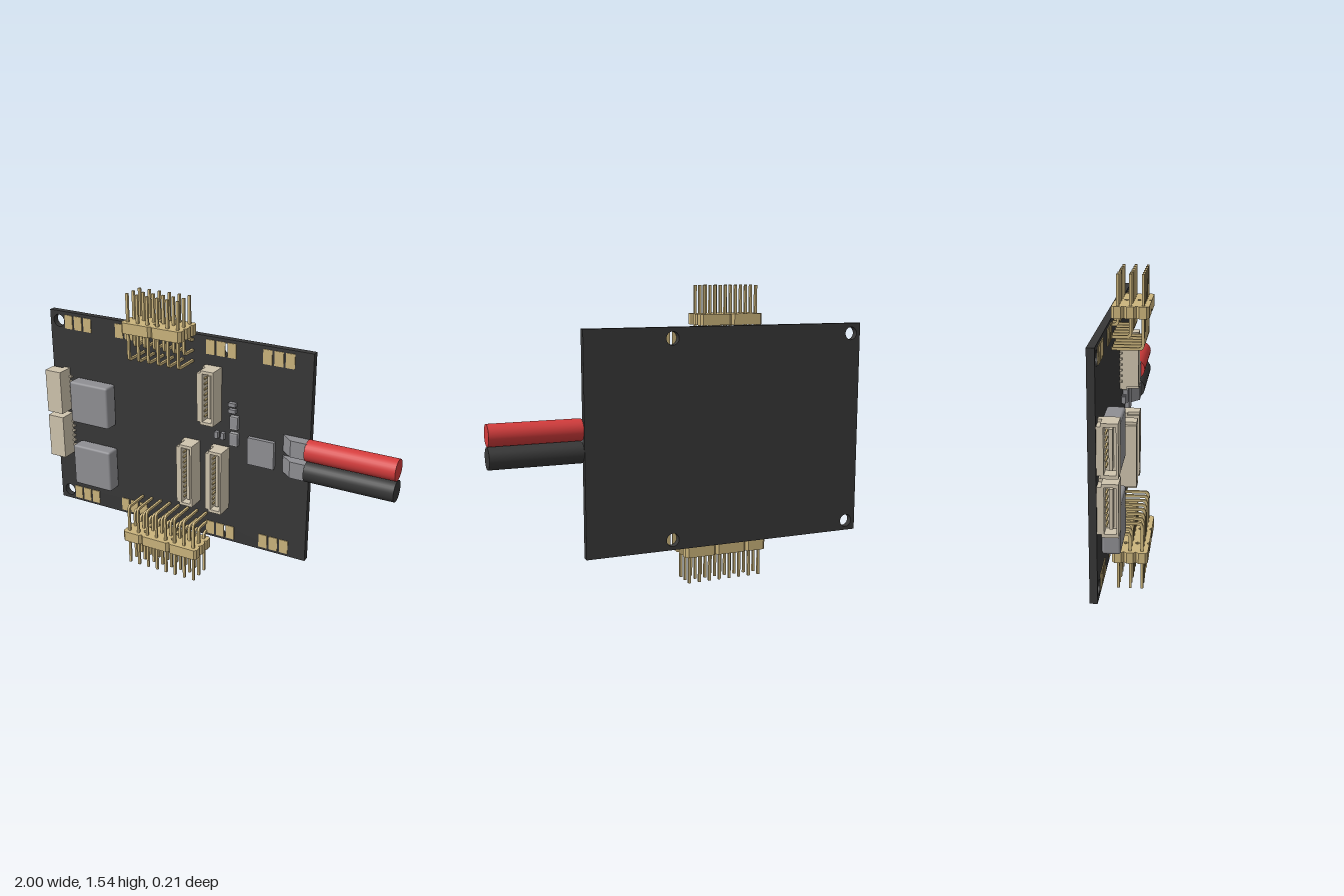
import * as THREE from 'three';
import { RoundedBoxGeometry } from 'three/addons/geometries/RoundedBoxGeometry.js';

const mat = (name, color) => {
  const m = new THREE.MeshStandardMaterial({ color });
  m.name = name;
  return m;
};
const FACE = -0.068; // front face of the board
const BACK = -0.103;

export function createModel() {
  const root = new THREE.Group();
  root.name = 'circuitBoard';
  const dark = mat('boardBlack', 0x373737);
  const gold = mat('gold', 0xcbb47c);
  const cream = mat('connectorCream', 0xcfc4ae);
  const grey = mat('chipGrey', 0x8f8f93);
  const silver = mat('solderSilver', 0xa2a2a4);
  const red = mat('wireRed', 0xd43c3c);

  const add = (name, geo, m, parent = root) => {
    const mesh = new THREE.Mesh(geo, m);
    mesh.name = name;
    parent.add(mesh);
    return mesh;
  };
  const group = (name, parent = root) => {
    const g = new THREE.Group();
    g.name = name;
    parent.add(g);
    return g;
  };
  const box = (name, m, x0, x1, y0, y1, z0, z1, parent) =>
    add(name, new THREE.BoxGeometry(x1 - x0, y1 - y0, z1 - z0)
      .translate((x0 + x1) / 2, (y0 + y1) / 2, (z0 + z1) / 2), m, parent);
  const polygon = (pts) => new THREE.Shape(pts.map(([a, b]) => new THREE.Vector2(a, b)));
  const extrude = (shape, depth) =>
    new THREE.ExtrudeGeometry(shape, { depth, bevelEnabled: false, curveSegments: 16 });

  // Board with four mounting holes
  const outline = polygon([[-1, 0.21], [0.54, 0.21], [0.54, 1.343], [-1, 1.343]]);
  for (const x of [-0.945, 0.08]) for (const y of [0.263, 1.288]) {
    const hole = new THREE.Path();
    hole.absarc(x, y, 0.034, 0, Math.PI * 2, true);
    outline.holes.push(hole);
  }
  add('board', extrude(outline, FACE - BACK).translate(0, 0, BACK), dark);

  // Gold contact pads in groups of three along both long edges
  const pads = group('contactPads');
  for (const y of [0.263, 1.288]) for (const x0 of [-0.88, -0.558, -0.015, 0.3])
    for (let i = 0; i < 3; i++) {
      const x = x0 + i * 0.06;
      box('contactPad', gold, x - 0.024, x + 0.024, y - 0.038, y + 0.038, FACE, FACE + 0.004, pads);
    }

  // Large chips with softened corners
  for (const y of [0.864, 0.487])
    add('largeChip', new RoundedBoxGeometry(0.242, 0.238, 0.084, 2, 0.012)
      .translate(-0.72, y, FACE + 0.042), grey);

  // Flat chip and small components
  box('flatChip', grey, 0.208, 0.355, 0.702, 0.85, FACE, -0.046);
  for (const y of [0.912, 0.821]) {
    box('smallChip', grey, 0.107, 0.152, y - 0.028, y + 0.028, FACE, -0.043);
    for (const s of [-1, 1])
      box('smallChipEnd', silver, 0.107, 0.152, y + s * 0.031 - 0.004, y + s * 0.031 + 0.004, FACE, -0.043);
  }
  for (const [x, y, w, h] of [[0.117, 1.008, 0.04, 0.02], [0.117, 0.973, 0.04, 0.02],
    [0.028, 0.825, 0.02, 0.036], [0.064, 0.825, 0.02, 0.036]])
    box('tinyComponent', grey, x - w / 2, x + w / 2, y - h / 2, y + h / 2, FACE, -0.046);

  // Socket shell: opens toward +z, the back sits at z = 0
  const socket = (name, pins, length, depth) => {
    const g = group(name);
    const w = 0.046, h = length / 2, floor = 0.034;
    box('socketBase', cream, -w, w, -h, h, 0, floor, g);
    const rim = polygon([[-w + 0.018, -h], [w, -h], [w, h], [-w + 0.018, h],
      [-w + 0.018, h - 0.014], [-w, h - 0.014], [-w, -h + 0.014], [-w + 0.018, -h + 0.014]]);
    rim.holes.push(polygon([[-0.016, -h + 0.016], [-0.016, h - 0.016],
      [0.036, h - 0.016], [0.036, -h + 0.016]]));
    add('socketRim', extrude(rim, depth - floor).translate(0, 0, floor), cream, g);
    box('socketTongue', cream, 0.004, 0.02, -h + 0.03, h - 0.03, floor, depth - 0.02, g);
    for (let i = 0; i < pins; i++) {
      const y = (i - (pins - 1) / 2) * 0.029;
      box('socketContact', gold, -0.012, -0.004, y - 0.004, y + 0.004, floor, depth - 0.012, g);
    }
    return g;
  };
  // Solder feet of a socket, in a column on the board
  const feet = (pins, x0, x1, yc) => {
    for (let i = 0; i < pins; i++) {
      const y = yc + (i - (pins - 1) / 2) * 0.029;
      box('socketFoot', cream, x0, x1, y - 0.005, y + 0.005, FACE, FACE + 0.012);
    }
  };

  // Upright sockets
  for (const [x, y, pins, length] of [[0.003, 1.047, 8, 0.29], [-0.122, 0.587, 10, 0.352], [0.05, 0.587, 10, 0.352]]) {
    socket('uprightSocket', pins, length, 0.094).position.set(x, y, FACE);
    feet(pins, x - 0.062, x - 0.045, y);
  }
  // Side sockets opening past the board's short edge
  for (const y of [0.905, 0.64]) {
    const g = socket('sideSocket', 6, 0.242, 0.097);
    g.rotation.y = -Math.PI / 2;
    g.position.set(-0.893, y, FACE + 0.046);
    feet(6, -0.894, -0.877, y);
  }

  // Angled pin: a bent strip in the y-z plane with a rounded corner
  const rows = [[0.078, 1.2], [0.02, 1.256], [-0.038, 1.313]];
  const MID = 0.7725;
  const pinGeometry = (z, bend, side) => {
    const h = 0.0065, r = 0.022, s = new THREE.Shape();
    const Y = (y) => MID + side * (y - MID);
    s.moveTo(z - h, Y(1.545));
    s.lineTo(z + h, Y(1.545));
    s.lineTo(z + h, Y(bend + r));
    s.quadraticCurveTo(z + h, Y(bend - h), z - r + h, Y(bend - h));
    s.lineTo(FACE, Y(bend - h));
    s.lineTo(FACE, Y(bend + h));
    s.lineTo(z - r, Y(bend + h));
    s.quadraticCurveTo(z - h, Y(bend + h), z - h, Y(bend + r));
    s.closePath();
    return new THREE.ExtrudeGeometry(s, { depth: 2 * h, bevelEnabled: false, curveSegments: 5 })
      .translate(0, 0, -h).rotateY(-Math.PI / 2);
  };

  // Pin headers: rows of chamfered blocks, each holding a few pins
  const header = (name, firstX, blocks, side) => {
    const g = group(name);
    const pitch = 0.0575, c = 0.013, half = 0.029;
    for (const [z, bend] of rows) {
      const geo = pinGeometry(z, bend, side);
      let column = 0;
      for (const n of blocks) {
        const x0 = firstX + (column - 0.5) * pitch, x1 = x0 + n * pitch;
        const plan = polygon([[x0 + c, z - half], [x1 - c, z - half], [x1, z - half + c], [x1, z + half - c],
          [x1 - c, z + half], [x0 + c, z + half], [x0, z + half - c], [x0, z - half + c]]);
        add('headerBlock', extrude(plan, 0.056).translate(0, 0, -0.028).rotateX(Math.PI / 2)
          .translate(0, MID + side * 0.6, 0), gold, g);
        for (let i = 0; i < n; i++, column++)
          add('headerPin', geo, gold, g).position.x = firstX + column * pitch;
      }
    }
  };
  header('topHeader', -0.405, [3, 3], 1);
  header('bottomHeader', -0.441, [2, 3, 3], -1);

  // Power wires with sloped solder joints
  for (const [name, y, m] of [['redWire', 0.854, red], ['blackWire', 0.743, dark]]) {
    add(name, new THREE.CylinderGeometry(0.055, 0.055, 0.46, 32).rotateZ(Math.PI / 2)
      .translate(0.77, y, -0.044), m);
    const joint = polygon([[0.4, FACE], [0.545, FACE], [0.545, -0.01], [0.46, -0.01], [0.4, -0.062]]);
    add('solderJoint', extrude(joint, 0.088).translate(0, 0, -0.044).rotateX(Math.PI / 2)
      .translate(0, y + (m === red ? 0.003 : 0), 0), grey);
  }
  return root;
}
